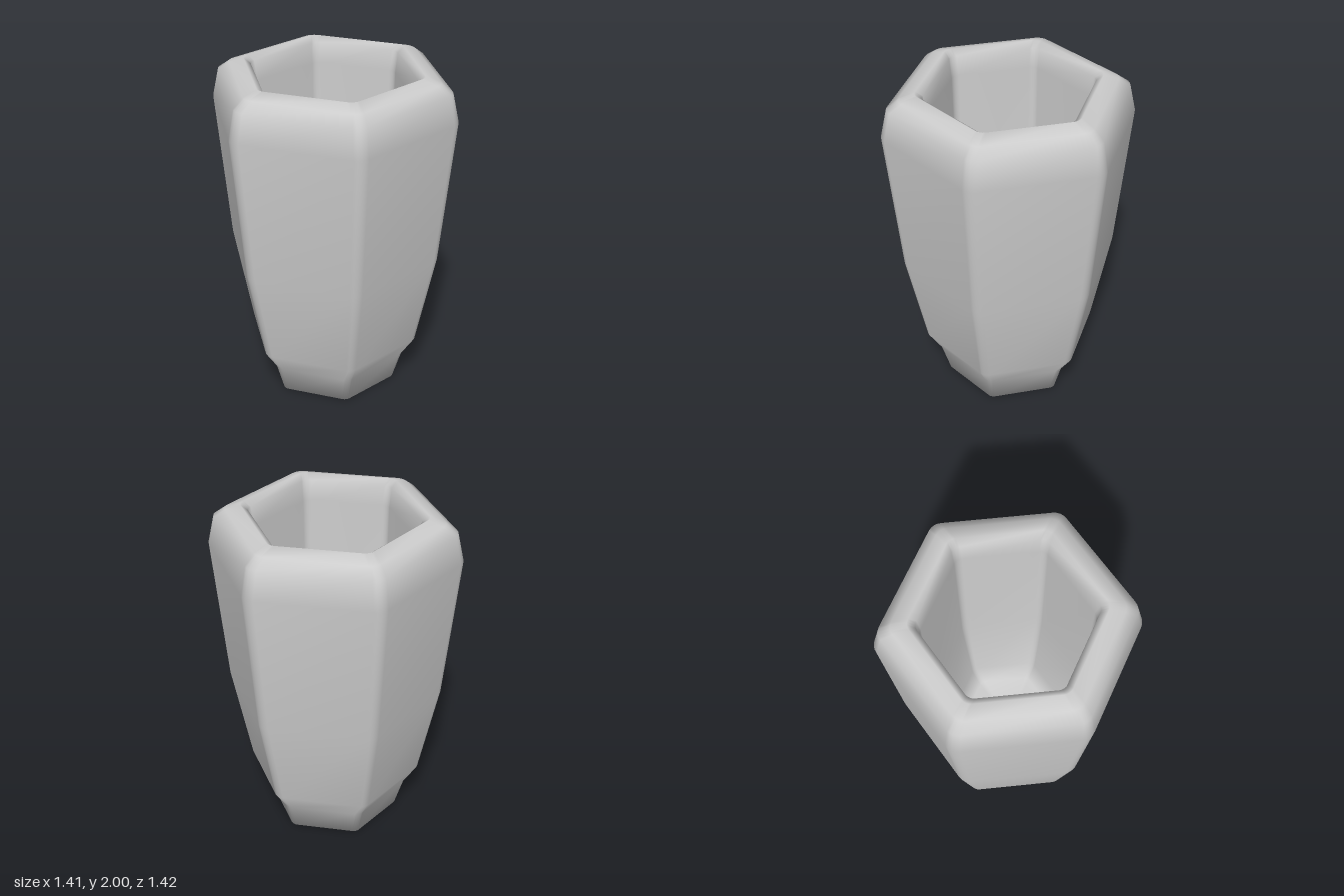
import * as THREE from 'three';

const CORNER_STEPS = 4;

// Hexagon with rounded corners, unit apothem, as [x, z] pairs
function roundedHexagon(round, turn) {
  const points = [];
  const centre = (1 - round) / Math.cos(Math.PI / 6);
  for (let k = 0; k < 6; k++) {
    const corner = turn + (k * Math.PI) / 3;
    for (let i = 0; i <= CORNER_STEPS; i++) {
      const a = corner + (i / CORNER_STEPS - 0.5) * (Math.PI / 3);
      points.push([
        centre * Math.cos(corner) + round * Math.cos(a),
        centre * Math.sin(corner) + round * Math.sin(a),
      ]);
    }
  }
  return points;
}

// Stack scaled copies of the section along a profile of [apothem, height]
function loft(section, profile) {
  const n = section.length;
  const positions = [];
  const index = [];
  for (const [r, y] of profile) {
    for (const [x, z] of section) positions.push(x * r, y, z * r);
  }
  for (let i = 0; i < profile.length - 1; i++) {
    for (let j = 0; j < n; j++) {
      const a = i * n + j;
      const b = i * n + ((j + 1) % n);
      const c = a + n;
      const d = b + n;
      if (profile[i + 1][0] > 0) index.push(b, c, d);
      if (profile[i][0] > 0) index.push(a, c, b);
    }
  }
  const geometry = new THREE.BufferGeometry();
  geometry.setAttribute('position', new THREE.Float32BufferAttribute(positions, 3));
  geometry.setIndex(index);
  geometry.computeVertexNormals();
  return geometry;
}

export function createModel() {
  const group = new THREE.Group();
  group.name = 'hexagonalVase';

  const section = roundedHexagon(0.13, THREE.MathUtils.degToRad(16.6));
  const profile = [
    // base and foot
    [0, 0], [0.343, 0], [0.39, 0.175],
    // outer wall
    [0.46, 0.295], [0.565, 0.87], [0.643, 1.75],
    // rounded rim
    [0.61, 1.92], [0.55, 1.97], [0.47, 2.0], [0.432, 1.97],
    // inner wall and floor
    [0.418, 1.85], [0.4, 0.95], [0.33, 0.38], [0.26, 0.3], [0, 0.28],
  ];

  const vase = new THREE.Mesh(
    loft(section, profile),
    new THREE.MeshStandardMaterial({ color: 0xcccccc })
  );
  vase.name = 'vaseBody';
  group.add(vase);
  return group;
}
